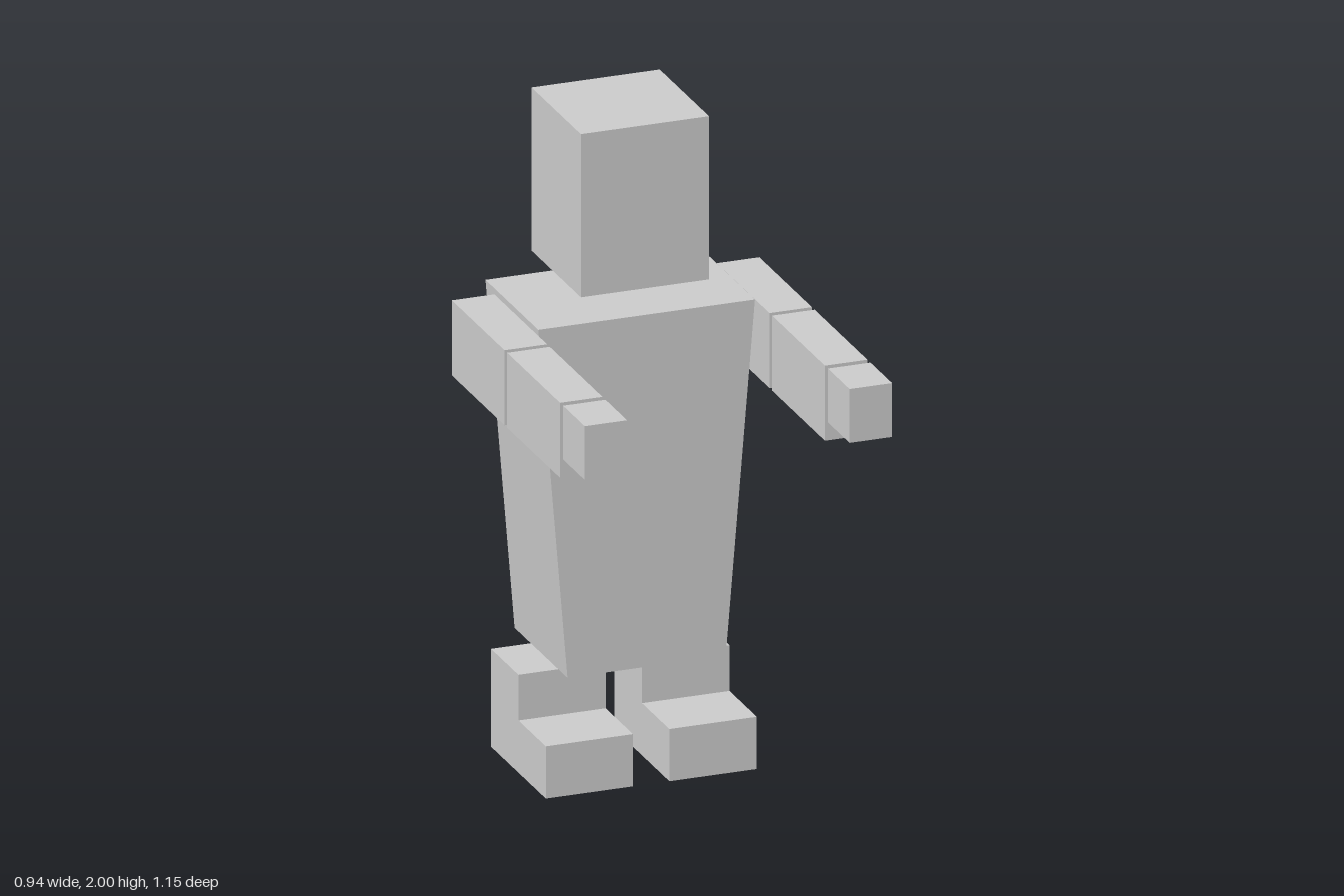
import * as THREE from 'three';

const material = new THREE.MeshStandardMaterial({ color: 0xcccccc, flatShading: true });

function addMesh(parent, name, geometry) {
  const mesh = new THREE.Mesh(geometry, material);
  mesh.name = name;
  parent.add(mesh);
  return mesh;
}

// Box given by its [min, max] range on each axis
function addBlock(parent, name, [x0, x1], [y0, y1], [z0, z1]) {
  const mesh = addMesh(parent, name, new THREE.BoxGeometry(x1 - x0, y1 - y0, z1 - z0));
  mesh.position.set((x0 + x1) / 2, (y0 + y1) / 2, (z0 + z1) / 2);
}

function extrude(points, depth) {
  const shape = new THREE.Shape(points.map(([x, y]) => new THREE.Vector2(x, y)));
  return new THREE.ExtrudeGeometry(shape, { depth, bevelEnabled: false });
}

export function createModel() {
  const model = new THREE.Group();
  model.name = 'blockFigure';

  // Head floats just above the torso
  addBlock(model, 'head', [-0.196, 0.196], [1.5, 2], [-0.56, -0.168]);

  // Torso tapers towards the hips, with constant depth
  const torso = extrude([[-0.242, 0.345], [0.242, 0.345], [0.331, 1.424], [-0.331, 1.424]], 0.42);
  addMesh(model, 'torso', torso.translate(0, 0, -0.575));

  for (const side of [1, -1]) {
    const prefix = side > 0 ? 'left' : 'right';

    // Arm: three separate blocks reaching forward
    const arm = new THREE.Group();
    arm.name = prefix + 'Arm';
    const armX = [side * 0.405 - 0.065, side * 0.405 + 0.065];
    addBlock(arm, prefix + 'UpperArm', armX, [1.185, 1.415], [-0.481, -0.062]);
    addBlock(arm, prefix + 'Forearm', armX, [1.185, 1.415], [-0.041, 0.379]);
    addBlock(arm, prefix + 'Hand', armX, [1.25, 1.415], [0.403, 0.575]);
    model.add(arm);

    // Foot: L-shaped side profile (z, y) extruded across x
    const foot = extrude([
      [-0.553, 0], [-0.118, 0], [-0.118, 0.16], [-0.335, 0.16], [-0.335, 0.3], [-0.553, 0.3],
    ], 0.267);
    foot.rotateY(-Math.PI / 2).translate(side * 0.189 + 0.1335, 0, 0);
    addMesh(model, prefix + 'Foot', foot);
  }
  return model;
}
